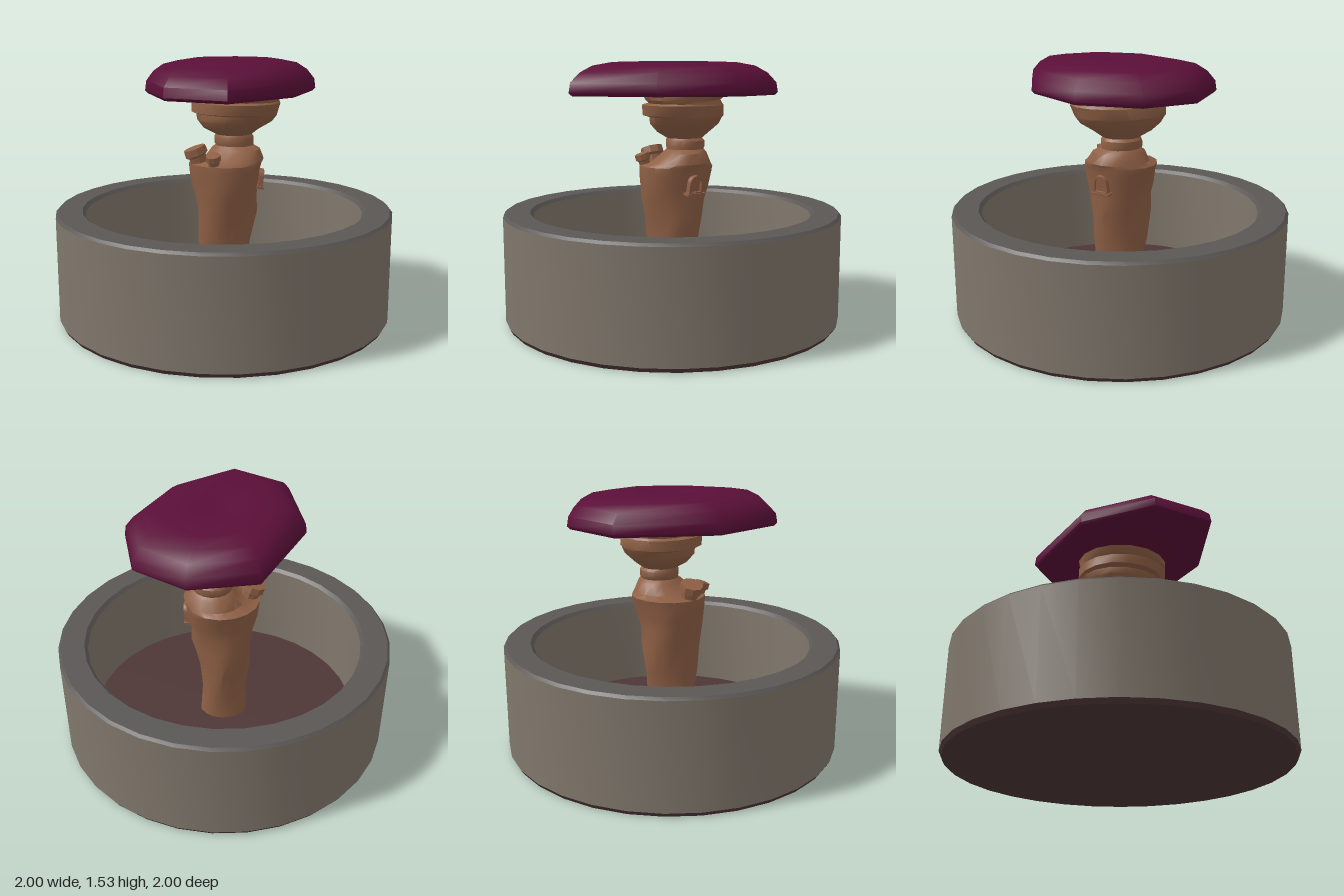
import * as THREE from 'three';
import { toCreasedNormals } from 'three/addons/utils/BufferGeometryUtils.js';

const mat = (name, color) => new THREE.MeshStandardMaterial({ name, color });

// Skin a stack of closed rings (arrays of Vector3), running from bottom to top
function loft(rings, crease) {
  const n = rings[0].length, pos = [], idx = [];
  rings.forEach((r) => r.forEach((p) => pos.push(p.x, p.y, p.z)));
  for (let i = 0; i < rings.length - 1; i++) {
    for (let j = 0; j < n; j++) {
      const a = i * n + j, b = i * n + ((j + 1) % n);
      idx.push(a, a + n, b, b, a + n, b + n);
    }
  }
  const g = new THREE.BufferGeometry();
  g.setAttribute('position', new THREE.Float32BufferAttribute(pos, 3));
  g.setIndex(idx);
  return toCreasedNormals(g, crease);
}

// Revolve a profile of [radius, y] points
const lathe = (pts, sides) =>
  toCreasedNormals(new THREE.LatheGeometry(pts.map(([x, y]) => new THREE.Vector2(x, y)), sides), 0.6);

function archShape(w, h) {
  const s = new THREE.Shape();
  s.moveTo(-w, 0);
  s.lineTo(w, 0);
  s.lineTo(w * 0.9, h - w);
  s.absarc(0, h - w, w * 0.9, 0, Math.PI, false);
  s.closePath();
  return s;
}

export function createModel() {
  const model = new THREE.Group();
  const stone = mat('stone', 0x80776c);
  const rimStone = mat('rimStone', 0x5a5755);
  const soil = mat('soil', 0x4e3636);
  const bark = mat('bark', 0x8f6045);
  const purple = mat('capPurple', 0x5a0f38);

  const add = (parent, name, geo, material) => {
    const mesh = new THREE.Mesh(geo, material);
    mesh.name = name;
    parent.add(mesh);
    return mesh;
  };

  // Round planter: outer and inner walls, bevelled rim, floor and underside
  const planter = new THREE.Group();
  planter.name = 'planter';
  model.add(planter);
  add(planter, 'outerWall', lathe([[1, 0.025], [1, 0.64]], 32), stone);
  add(planter, 'rim', lathe([[1, 0.64], [0.985, 0.655], [0.845, 0.655], [0.825, 0.635]], 32), rimStone);
  add(planter, 'innerWall', lathe([[0.825, 0.635], [0.82, 0.1]], 32), stone);
  add(planter, 'base', lathe([[0, 0], [0.985, 0], [1, 0.025]], 32), soil);
  add(planter, 'floor', lathe([[0.825, 0.1], [0, 0.1]], 32), soil);

  // Gnarled stalk: each row is y, xMin, xMax, zMin, zMax, wobble
  const rows = [
    [0.09, -0.14, 0.15, -0.14, 0.14, 0.05],
    [0.25, -0.13, 0.14, -0.13, 0.14, 0.05],
    [0.45, -0.15, 0.16, -0.16, 0.15, 0.06],
    [0.62, -0.16, 0.19, -0.18, 0.18, 0.05],
    [0.72, -0.18, 0.19, -0.18, 0.19, 0.04],
    [0.8, -0.19, 0.21, -0.2, 0.2, 0.03],
    [0.88, -0.2, 0.23, -0.21, 0.21, 0.02],
    [0.92, -0.2, 0.24, -0.22, 0.215, 0.01],
    [0.94, -0.12, 0.235, -0.16, 0.21, 0],
    [1.0, -0.05, 0.21, -0.13, 0.18, 0],
    [1.02, -0.03, 0.19, -0.1, 0.13, 0],
    [1.035, -0.035, 0.195, -0.11, 0.13, 0],
    [1.07, -0.035, 0.195, -0.11, 0.13, 0],
    [1.085, -0.03, 0.18, -0.1, 0.12, 0],
    [1.12, -0.09, 0.22, -0.17, 0.17, 0],
    [1.17, -0.13, 0.28, -0.22, 0.25, 0.01],
    [1.21, -0.13, 0.3, -0.24, 0.28, 0.01],
    [1.22, -0.17, 0.31, -0.25, 0.285, 0.01],
    [1.28, -0.17, 0.31, -0.25, 0.31, 0.01],
    [1.29, -0.13, 0.3, -0.24, 0.3, 0],
    [1.31, -0.15, 0.29, -0.24, 0.31, 0],
    [1.345, -0.17, 0.33, -0.25, 0.31, 0],
  ];
  const sides = 16;
  const stalkRings = rows.map(([y, x0, x1, z0, z1, w]) =>
    Array.from({ length: sides }, (_, j) => {
      const t = (j / sides) * Math.PI * 2;
      const k = 1 + w * Math.sin(3 * t + 9 * y) + w * 0.5 * Math.sin(5 * t - 14 * y);
      return new THREE.Vector3(
        (x0 + x1) / 2 + ((x1 - x0) / 2) * Math.cos(t) * k,
        y,
        (z0 + z1) / 2 + ((z1 - z0) / 2) * Math.sin(t) * k);
    }));
  add(model, 'stalk', loft(stalkRings, 0.7), bark);

  // Cut stubs on the stalk's shoulder: x, z, base y, height, radius, lean about z, lean about x
  const stubs = [
    [-0.115, -0.08, 0.9, 0.12, 0.07, 0.25, -0.25],
    [-0.145, 0.05, 0.9, 0.095, 0.045, 0.3, 0.15],
  ];
  stubs.forEach(([x, z, y, h, r, leanZ, leanX]) => {
    const g = lathe([[0, 0], [r * 0.7, 0], [r * 0.75, h * 0.55], [r, h * 0.65], [r * 0.95, h], [0, h]], 9);
    const stub = add(model, 'stub', g, bark);
    stub.position.set(x, y, z);
    stub.rotation.set(leanX, 0, leanZ);
  });

  // Small arched window on the front left of the stalk
  const windowGroup = new THREE.Group();
  windowGroup.name = 'window';
  windowGroup.position.set(0.145, 0.77, 0.135);
  windowGroup.rotation.set(0.12, Math.PI / 4, 0, 'YXZ');
  model.add(windowGroup);
  const frame = archShape(0.052, 0.115);
  const opening = archShape(0.036, 0.085);
  frame.holes.push(new THREE.Path(opening.getPoints(8).map((p) => p.add(new THREE.Vector2(0, 0.014)))));
  add(windowGroup, 'windowFrame',
    new THREE.ExtrudeGeometry(frame, { depth: 0.03, bevelEnabled: false, curveSegments: 8 }), bark);
  const pane = add(windowGroup, 'windowPane', new THREE.ShapeGeometry(archShape(0.045, 0.105), 8), bark);
  pane.position.z = 0.015;
  const sill = add(windowGroup, 'windowSill', new THREE.BoxGeometry(0.12, 0.014, 0.05), bark);
  sill.position.z = 0.012;

  // Flat eight-cornered cap: outline in x, z, then rings of scale and height
  const outline = [
    [0.62, 0.02], [0.43, 0.35], [0, 0.515], [-0.5, 0.45],
    [-0.6, 0.09], [-0.35, -0.3], [0.2, -0.52], [0.53, -0.31],
  ];
  const capRows = [
    [0, 1.345], [0.6, 1.345], [0.97, 1.338], [1, 1.355], [0.985, 1.41],
    [0.9, 1.465], [0.78, 1.505], [0.6, 1.525], [0.3, 1.53], [0.15, 1.52], [0, 1.515],
  ];
  const capRings = capRows.map(([s, y]) =>
    outline.map(([x, z]) => new THREE.Vector3(0.02 + (x - 0.02) * s, y, 0.01 + (z - 0.01) * s)));
  add(model, 'cap', loft(capRings, 0.95), purple);

  return model;
}
